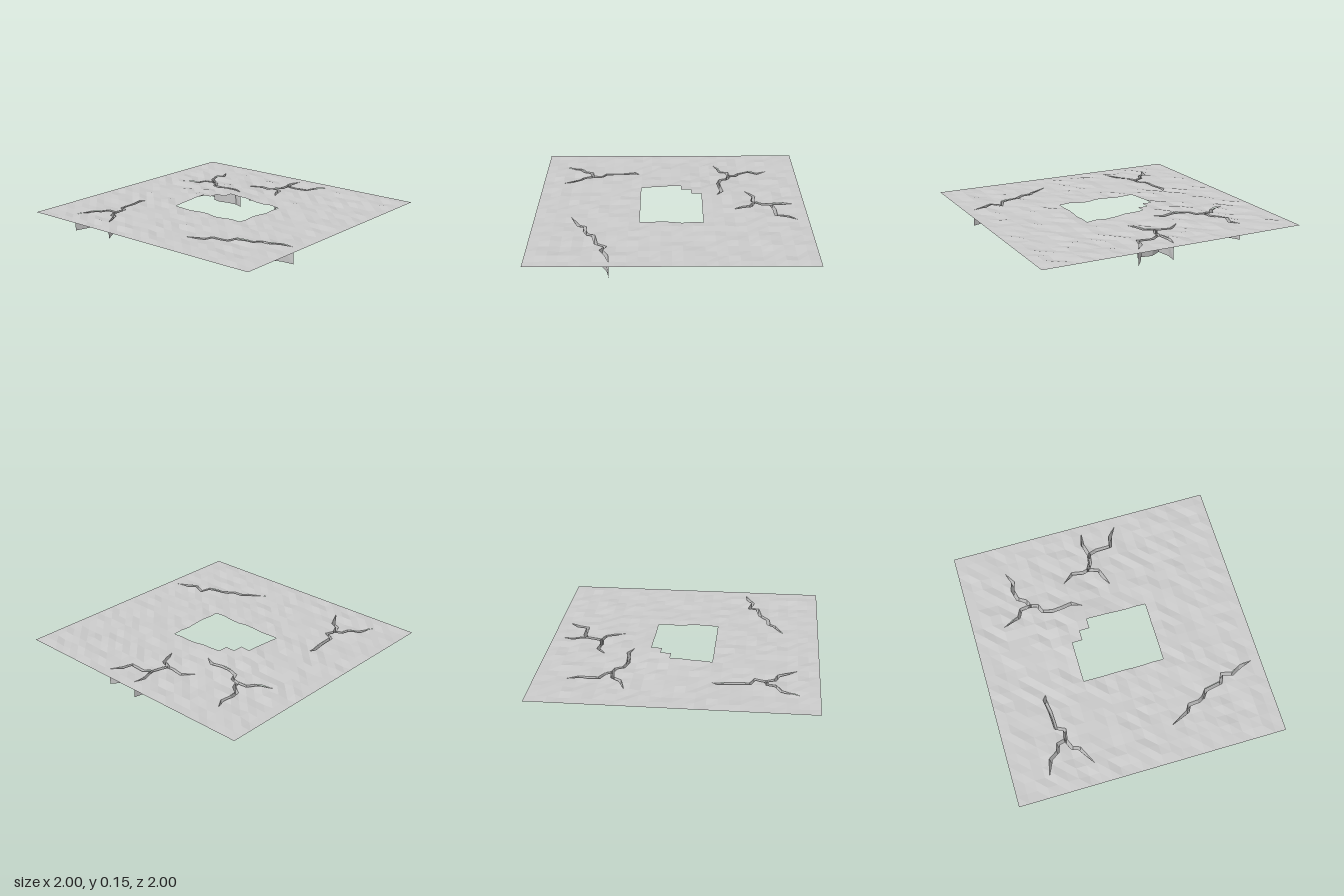
import * as THREE from 'three';

const CELLS = 26, STEP = 2 / CELLS, BASE = 0.135, DEPTH = 0.122;

// Crack centre lines as [x, z]; "open" gives the half width at start and end.
const CRACKS = [
  { name: 'backLeftCrack', lines: [
    { open: [0, 1], pts: [[-.65, -.77], [-.61, -.69], [-.63, -.62], [-.61, -.545], [-.555, -.51], [-.535, -.46]] },
    { open: [1, 0], pts: [[-.535, -.46], [-.48, -.445], [-.455, -.39], [-.385, -.37], [-.31, -.375], [-.23, -.39], [-.155, -.35]] },
    { open: [1, 0], pts: [[-.535, -.46], [-.61, -.45], [-.64, -.395], [-.77, -.345]] },
  ] },
  { name: 'backCrack', lines: [
    { open: [0, 1], pts: [[0, -.93], [-.015, -.845], [.01, -.745], [0, -.68], [-.03, -.625]] },
    { open: [1, 0], pts: [[.01, -.745], [.075, -.77], [.19, -.77], [.21, -.85], [.265, -.92]] },
    { open: [1, 0], pts: [[-.03, -.625], [-.075, -.615], [-.155, -.63], [-.24, -.565]] },
    { open: [1, 0], pts: [[-.03, -.625], [.045, -.595], [.065, -.535], [.1, -.46]] },
  ] },
  { name: 'frontLeftCrack', lines: [
    { open: [0, 1], pts: [[-.605, .25], [-.622, .285], [-.605, .39], [-.6, .515], [-.54, .545], [-.555, .62]] },
    { open: [1, 0], pts: [[-.555, .62], [-.615, .635], [-.63, .69], [-.695, .73], [-.74, .855]] },
    { open: [1, 0], pts: [[-.555, .62], [-.525, .69], [-.475, .71], [-.395, .85]] },
  ] },
  { name: 'frontRightCrack', lines: [
    { open: [0, 0], pts: [[.215, .735], [.36, .665], [.385, .62], [.46, .615], [.5, .595], [.535, .55],
      [.66, .525], [.69, .46], [.765, .485], [.84, .445], [.93, .425]] },
  ] },
];

function seeded(seed) {
  return () => {
    seed = (seed * 16807) % 2147483647;
    return seed / 2147483647;
  };
}

// Rough ground heights: a low swell behind the hole plus small bumps, flat at the border
function makeHeights() {
  const rand = seeded(71), h = [];
  for (let j = 0; j <= CELLS; j++) {
    h.push([]);
    for (let i = 0; i <= CELLS; i++) {
      const x = i * STEP - 1, z = j * STEP - 1;
      const bump = (rand() - 0.5) * 0.016;
      const swell = 0.021 * Math.exp(-(((x + 0.2) / 0.3) ** 2) - ((z + 0.15) / 0.32) ** 2);
      const border = i % CELLS === 0 || j % CELLS === 0;
      h[j].push(BASE + (border ? 0 : bump + swell));
    }
  }
  return h;
}

function heightAt(h, x, z) {
  const i = Math.min(CELLS - 1, Math.floor((x + 1) / STEP)), j = Math.min(CELLS - 1, Math.floor((z + 1) / STEP));
  const u = (x + 1) / STEP - i, v = (z + 1) / STEP - j;
  const a = h[j][i], b = h[j][i + 1], c = h[j + 1][i + 1], d = h[j + 1][i];
  return u > v ? a + u * (b - a) + v * (c - b) : a + v * (d - a) + u * (c - d);
}

// Left and right edges of a tapering crack
function crackEdges({ pts, open }) {
  const last = pts.length - 1, left = [], right = [];
  pts.forEach(([x, z], k) => {
    const p = pts[Math.max(0, k - 1)], q = pts[Math.min(last, k + 1)];
    const len = Math.hypot(q[0] - p[0], q[1] - p[1]);
    const end = k === 0 ? open[0] : k === last ? open[1] : 1;
    const w = 0.012 * end;
    const nx = -(q[1] - p[1]) / len * w, nz = (q[0] - p[0]) / len * w;
    left.push([x + nx, z + nz]);
    right.push([x - nx, z - nz]);
  });
  return { left, right };
}

// Part of a polygon where the signed distance is positive
function clip(poly, dist) {
  const out = [];
  poly.forEach((p, k) => {
    const q = poly[(k + 1) % poly.length], a = dist(p), b = dist(q);
    if (a >= 0) out.push(p);
    if ((a > 0 && b < 0) || (a < 0 && b > 0)) out.push(p.map((n, c) => n + (q[c] - n) * a / (a - b)));
  });
  return out.length > 2 ? out : [];
}

// Cuts a convex quad (in x, z) out of a convex polygon
function subtract(poly, quad) {
  const pieces = [];
  let rest = poly;
  for (let k = 0; k < 4 && rest.length; k++) {
    const [ax, az] = quad[k], [bx, bz] = quad[(k + 1) % 4];
    if (Math.hypot(bx - ax, bz - az) < 1e-6) continue;
    const dist = ([x, , z]) => (bx - ax) * (z - az) - (bz - az) * (x - ax);
    const outside = clip(rest, p => -dist(p));
    if (outside.length) pieces.push(outside);
    rest = clip(rest, dist);
  }
  return rest.length ? pieces : [poly];
}

function meshFrom(polys, name) {
  const pos = [];
  for (const p of polys)
    for (let k = 1; k < p.length - 1; k++) pos.push(...p[0], ...p[k], ...p[k + 1]);
  const geo = new THREE.BufferGeometry();
  geo.setAttribute('position', new THREE.Float32BufferAttribute(pos, 3));
  geo.computeVertexNormals();
  const mat = new THREE.MeshStandardMaterial({ color: 0xcccccc, flatShading: true, side: THREE.DoubleSide });
  const mesh = new THREE.Mesh(geo, mat);
  mesh.name = name;
  return mesh;
}

// Central opening of 8 by 6 cells, with a stepped back left corner
function inHole(i, j) {
  const c = i - 9, r = j - 10;
  return c >= 0 && c < 8 && r >= 0 && r < 6 && c + r > 1;
}

export function createModel() {
  const model = new THREE.Group();
  model.name = 'crackedGround';
  const h = makeHeights(), quads = [];

  // V-shaped walls below each crack
  for (const { name, lines } of CRACKS) {
    const walls = [];
    for (const line of lines) {
      const { left, right } = crackEdges(line);
      const top = ([x, z]) => [x, heightAt(h, x, z), z];
      const keel = line.pts.map(([x, z]) => [x, Math.max(0, heightAt(h, x, z) - DEPTH), z]);
      for (let k = 0; k < keel.length - 1; k++) {
        quads.push([right[k], right[k + 1], left[k + 1], left[k]]);
        walls.push([top(left[k]), top(left[k + 1]), keel[k + 1], keel[k]]);
        walls.push([top(right[k + 1]), top(right[k]), keel[k], keel[k + 1]]);
      }
    }
    model.add(meshFrom(walls, name));
  }

  // Ground sheet with the cracks cut through it
  let ground = [];
  for (let j = 0; j < CELLS; j++) {
    for (let i = 0; i < CELLS; i++) {
      if (inHole(i, j)) continue;
      const at = (m, n) => [m * STEP - 1, h[n][m], n * STEP - 1];
      const a = at(i, j), b = at(i + 1, j), c = at(i + 1, j + 1), d = at(i, j + 1);
      ground.push([a, d, c], [a, c, b]);
    }
  }
  for (const quad of quads) ground = ground.flatMap(poly => subtract(poly, quad));
  model.add(meshFrom(ground, 'groundSheet'));
  return model;
}
